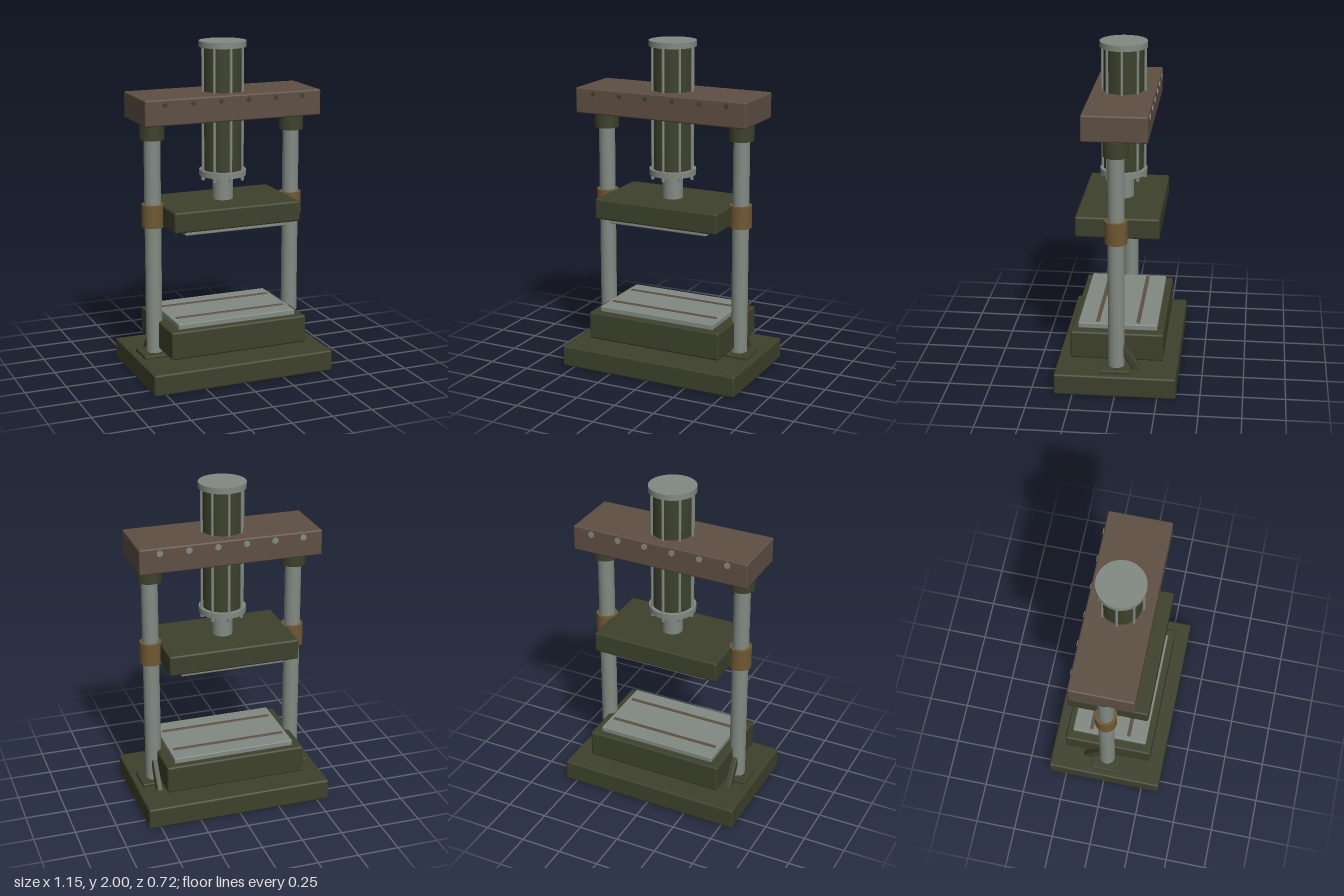
import * as THREE from 'three';
import { RoundedBoxGeometry } from 'three/addons/geometries/RoundedBoxGeometry.js';

const material = (name, color) => {
  const m = new THREE.MeshStandardMaterial({ color });
  m.name = name;
  return m;
};

export function createModel() {
  const green = material('dark green paint', 0x3d412b);
  const brown = material('brown paint', 0x5e4f43);
  const steel = material('grey steel', 0x828a82);
  const bronze = material('bronze', 0x6f5832);

  const press = new THREE.Group();
  press.name = 'press';

  const add = (name, geometry, mat, x, y, z, parent = press) => {
    const mesh = new THREE.Mesh(geometry, mat);
    mesh.name = name;
    mesh.position.set(x, y, z);
    parent.add(mesh);
    return mesh;
  };
  // Bevelled block, centred on x and z, between two heights
  const block = (name, mat, w, y0, y1, d, bevel, x = 0, z = 0, parent = press) =>
    add(name, new RoundedBoxGeometry(w, y1 - y0, d, 2, bevel), mat, x, (y0 + y1) / 2, z, parent);
  // Upright cylinder between two heights
  const round = (name, mat, r, y0, y1, x = 0, z = 0, sides = 40, parent = press) =>
    add(name, new THREE.CylinderGeometry(r, r, y1 - y0, sides), mat, x, (y0 + y1) / 2, z, parent);

  // Base and fixed bed
  block('base', green, 1.146, 0, 0.13, 0.72, 0.012);
  block('bed', green, 0.864, 0.175, 0.345, 0.55, 0.012);
  block('bedPlate', steel, 0.75, 0.343, 0.378, 0.47, 0.006);
  for (const z of [-0.12, 0.12]) {
    block('bedSlot', brown, 0.7, 0.375, 0.383, 0.022, 0.003, 0, z);
  }

  // Guide columns with their feet, braces, bushings and collars
  for (const side of [-1, 1]) {
    const column = new THREE.Group();
    column.name = side > 0 ? 'leftColumn' : 'rightColumn';
    press.add(column);
    const x = side * 0.445;
    block('footPlate', green, 0.18, 0.125, 0.15, 0.18, 0.006, x, 0, column);
    round('post', steel, 0.049, 0.13, 1.6, x, 0, 40, column);
    round('bushing', bronze, 0.066, 0.925, 1.06, x, 0, 40, column);
    round('topCollar', green, 0.074, 1.447, 1.54, x, 0, 40, column);
    const brace = add('brace', new RoundedBoxGeometry(0.04, 0.23, 0.048, 2, 0.01),
      green, x, 0.19, -0.085, column);
    brace.rotation.x = 0.6;
  }

  // Moving platen
  block('platen', green, 0.796, 0.93, 1.055, 0.49, 0.012);
  block('platenPlate', steel, 0.636, 0.903, 0.933, 0.42, 0.006);

  // Top beam with a row of through bolts
  block('topBeam', brown, 1.1, 1.553, 1.707, 0.376, 0.01);
  for (let i = 0; i < 6; i++) {
    const x = -0.43 + i * 0.172;
    const tip = new THREE.CylinderGeometry(0.014, 0.014, 0.02, 16).rotateX(Math.PI / 2);
    const head = new THREE.CylinderGeometry(0.02, 0.02, 0.02, 6).rotateX(Math.PI / 2);
    add('boltTip', tip, green, x, 1.675, 0.181);
    add('boltHead', head, steel, x, 1.675, -0.183);
  }

  // Hydraulic cylinder with tie rods and nuts
  const ram = new THREE.Group();
  ram.name = 'hydraulicCylinder';
  press.add(ram);
  round('barrel', green, 0.118, 1.22, 1.98, 0, 0, 48, ram);
  round('upperCap', steel, 0.14, 1.965, 2, 0, 0, 48, ram);
  round('lowerCap', steel, 0.14, 1.2, 1.235, 0, 0, 48, ram);
  round('pistonRod', steel, 0.061, 1.05, 1.21, 0, 0, 40, ram);
  for (let i = 0; i < 8; i++) {
    const a = i * Math.PI / 4;
    const x = 0.126 * Math.sin(a), z = 0.126 * Math.cos(a);
    round('tieRod', steel, 0.008, 1.23, 1.97, x, z, 12, ram);
    round('tieRodNut', steel, 0.011, 1.176, 1.205, x, z, 6, ram);
  }

  return press;
}
